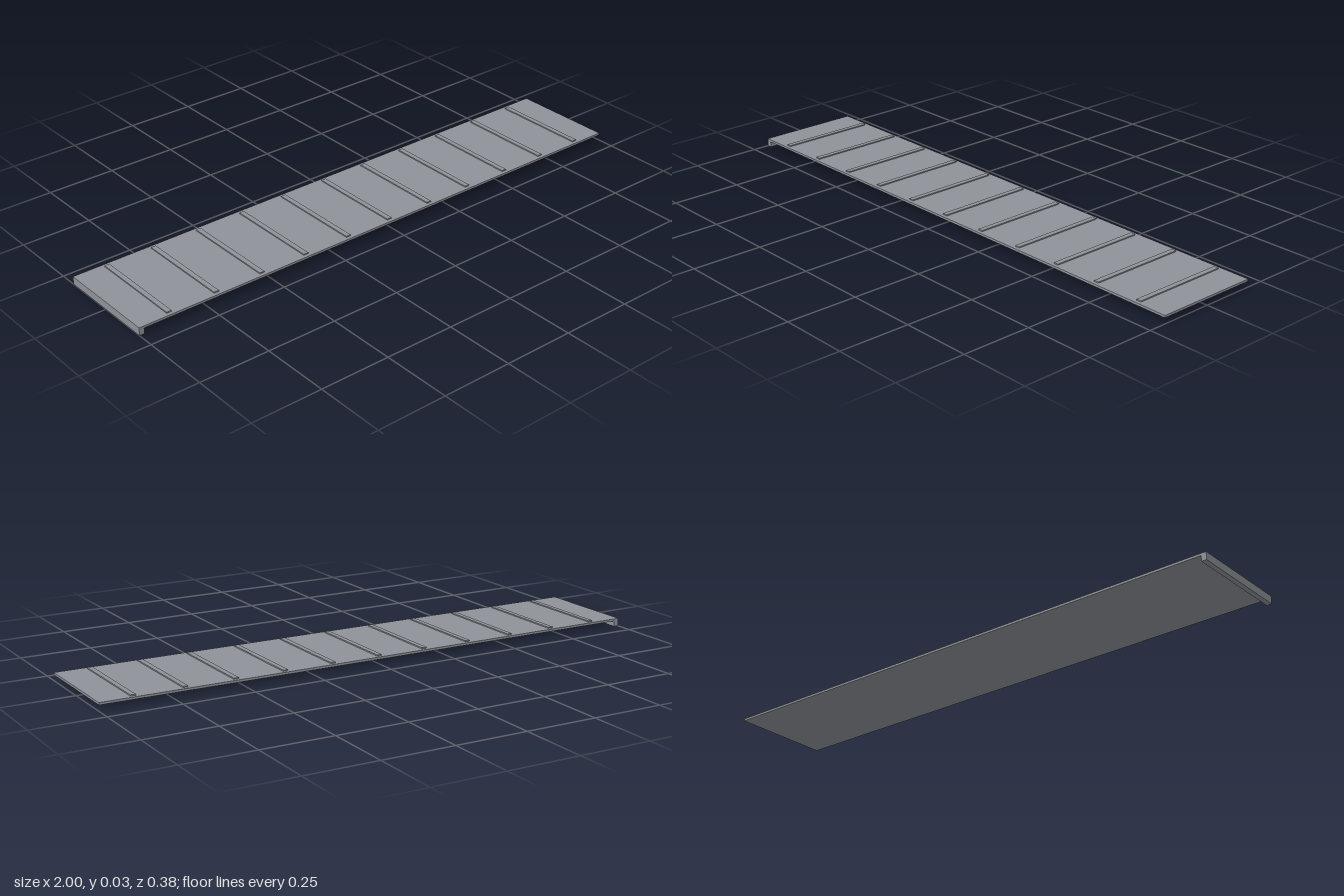
import * as THREE from 'three';

export function createModel() {
  const group = new THREE.Group();
  const metal = new THREE.MeshStandardMaterial({ color: 0x8f9399 });
  metal.name = 'grey metal';

  // Box given by its x centre, width, bottom, top and depth
  const addBox = (name, x, width, bottom, top, depth) => {
    const mesh = new THREE.Mesh(new THREE.BoxGeometry(width, top - bottom, depth), metal);
    mesh.name = name;
    mesh.position.set(x, (bottom + top) / 2, 0);
    group.add(mesh);
  };

  // Long flat ramp plate
  addBox('plank', 0, 2, 0.02, 0.028, 0.376);

  // Downturned lip under the right end
  addBox('endLip', -0.991, 0.018, 0, 0.02, 0.376);

  // Evenly spaced grip cleats across the top
  for (let i = -5; i <= 5; i++) {
    addBox('cleat' + (i + 6), i * 0.1765, 0.018, 0.028, 0.032, 0.35);
  }

  return group;
}
